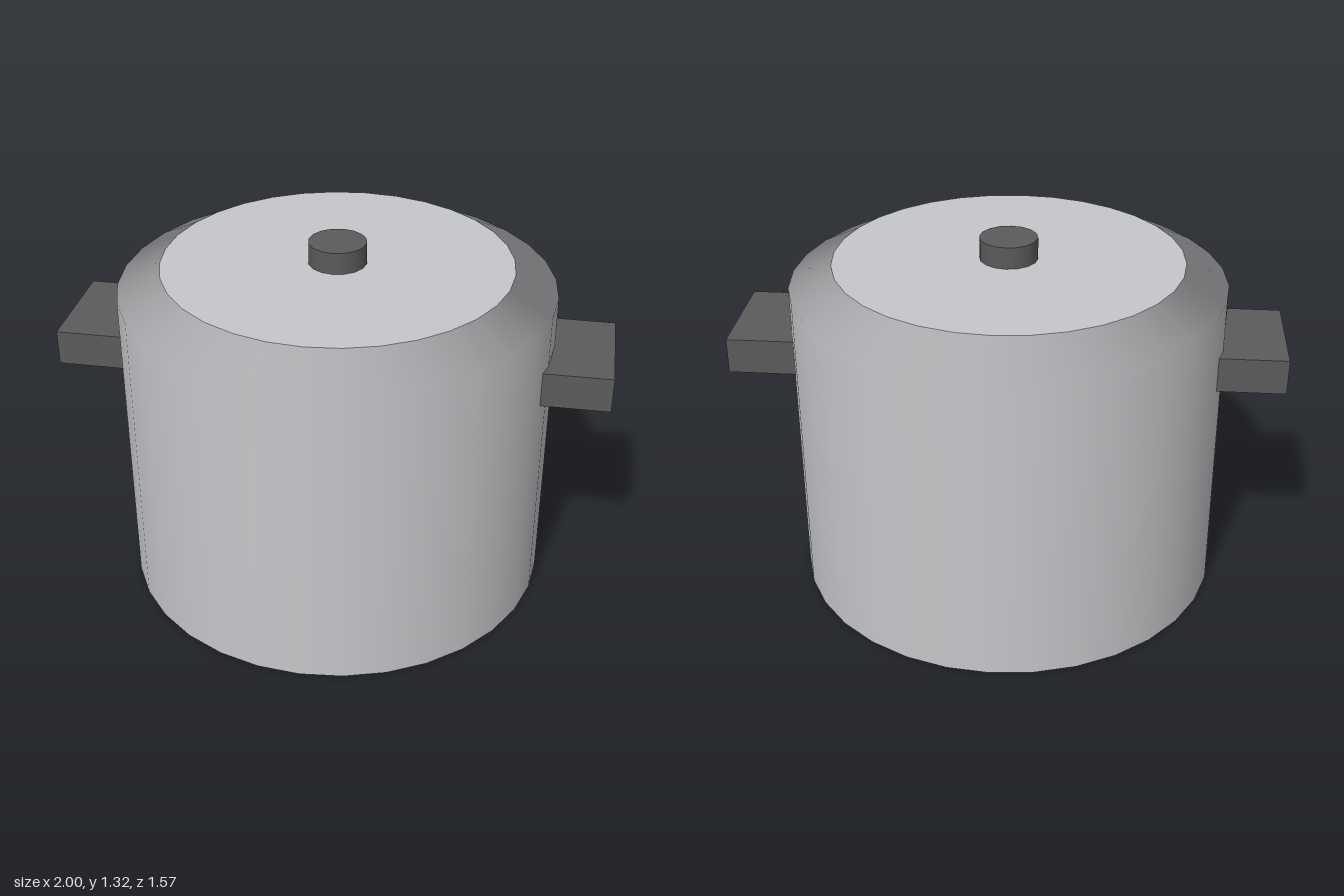
import * as THREE from 'three';

export function createModel() {
  const group = new THREE.Group();
  const steel = new THREE.MeshStandardMaterial({ color: 0xc6c7ca });
  steel.name = 'steel';
  const grip = new THREE.MeshStandardMaterial({ color: 0x5b5b5c });
  grip.name = 'dark grip';

  const add = (name, geometry, material, x, y, z) => {
    const mesh = new THREE.Mesh(geometry, material);
    mesh.name = name;
    mesh.position.set(x, y, z);
    group.add(mesh);
  };

  // Pot body: a cylinder whose top ring is drawn in to a sloped shoulder,
  // keeping the soft shading of the wall
  const radius = 0.787, topRadius = 0.632, height = 1.24, shoulderY = 1.16;
  const body = new THREE.CylinderGeometry(radius, radius, height, 32, 2);
  body.translate(0, height / 2, 0);
  const p = body.attributes.position;
  for (let i = 0; i < p.count; i++) {
    const y = p.getY(i);
    if (y > height - 0.01) {
      p.setX(i, p.getX(i) * topRadius / radius);
      p.setZ(i, p.getZ(i) * topRadius / radius);
    } else if (y > 0.01) {
      p.setY(i, shoulderY);
    }
  }
  add('potBody', body, steel, 0, 0, 0);

  // Lid knob
  add('lidKnob', new THREE.CylinderGeometry(0.105, 0.105, 0.09, 16), grip, 0, 1.275, 0);

  // Side handles, sunk into the wall
  for (const [name, side] of [['leftHandle', 1], ['rightHandle', -1]]) {
    add(name, new THREE.BoxGeometry(0.28, 0.13, 0.42), grip, side * 0.86, 0.91, 0);
  }
  return group;
}
